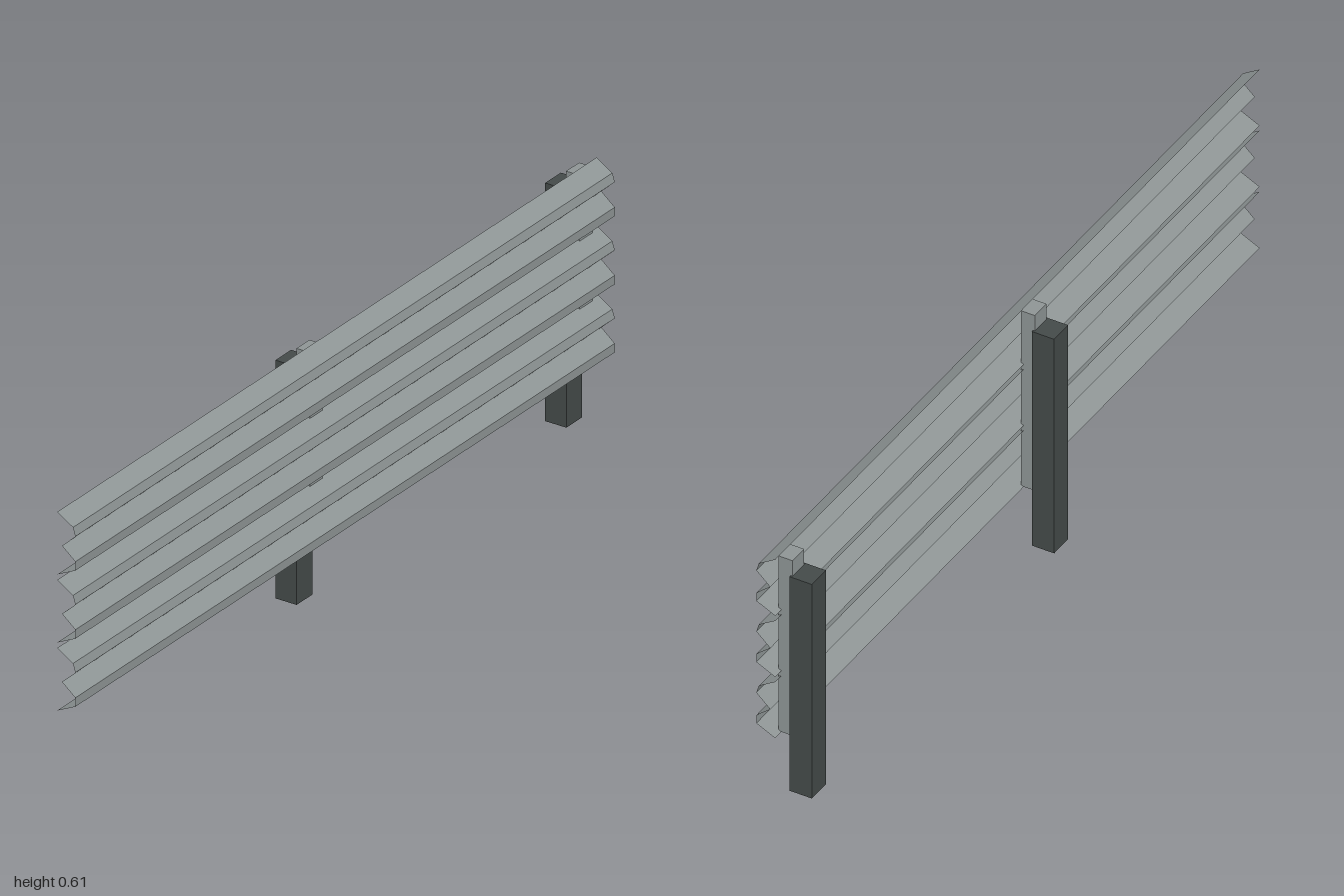
import * as THREE from 'three';

export function createModel() {
  const group = new THREE.Group();
  group.name = 'guardRail';

  const steel = new THREE.MeshStandardMaterial({ color: 0x8e9595, side: THREE.DoubleSide });
  steel.name = 'galvanised steel';
  const dark = new THREE.MeshStandardMaterial({ color: 0x444a49 });
  dark.name = 'dark post';

  // Box placed by its minimum and maximum corners
  function box(name, material, x0, x1, y0, y1, z0, z1) {
    const mesh = new THREE.Mesh(new THREE.BoxGeometry(x1 - x0, y1 - y0, z1 - z0), material);
    mesh.position.set((x0 + x1) / 2, (y0 + y1) / 2, (z0 + z1) / 2);
    mesh.name = name;
    group.add(mesh);
  }

  // Thin corrugated sheet: [x, y] section swept along z, separate faces for crisp folds
  const section = [
    [0.015, 0.147], [0.055, 0.122], [0.061, 0.102], [0.027, 0.071],
    [0.061, 0.043], [0.061, 0.022], [0.015, 0],
  ];
  const positions = [];
  for (let i = 0; i < section.length - 1; i++) {
    const [ax, ay] = section[i];
    const [bx, by] = section[i + 1];
    positions.push(ax, ay, 1, bx, by, 1, bx, by, -1);
    positions.push(ax, ay, 1, bx, by, -1, ax, ay, -1);
  }
  const railGeometry = new THREE.BufferGeometry();
  railGeometry.setAttribute('position', new THREE.Float32BufferAttribute(positions, 3));
  railGeometry.computeVertexNormals();

  // Three stacked rails
  for (let i = 0; i < 3; i++) {
    const rail = new THREE.Mesh(railGeometry, steel);
    rail.position.y = 0.142 + i * 0.16;
    rail.name = 'rail' + (i + 1);
    group.add(rail);
  }

  // Posts with spacer blocks behind the rails
  for (const z of [-0.95, 0.05]) {
    box('post', dark, -0.062, -0.008, 0, 0.56, z - 0.029, z + 0.029);
    box('spacer', steel, -0.012, 0.022, 0.142, 0.6, z - 0.024, z + 0.024);
  }
  return group;
}
